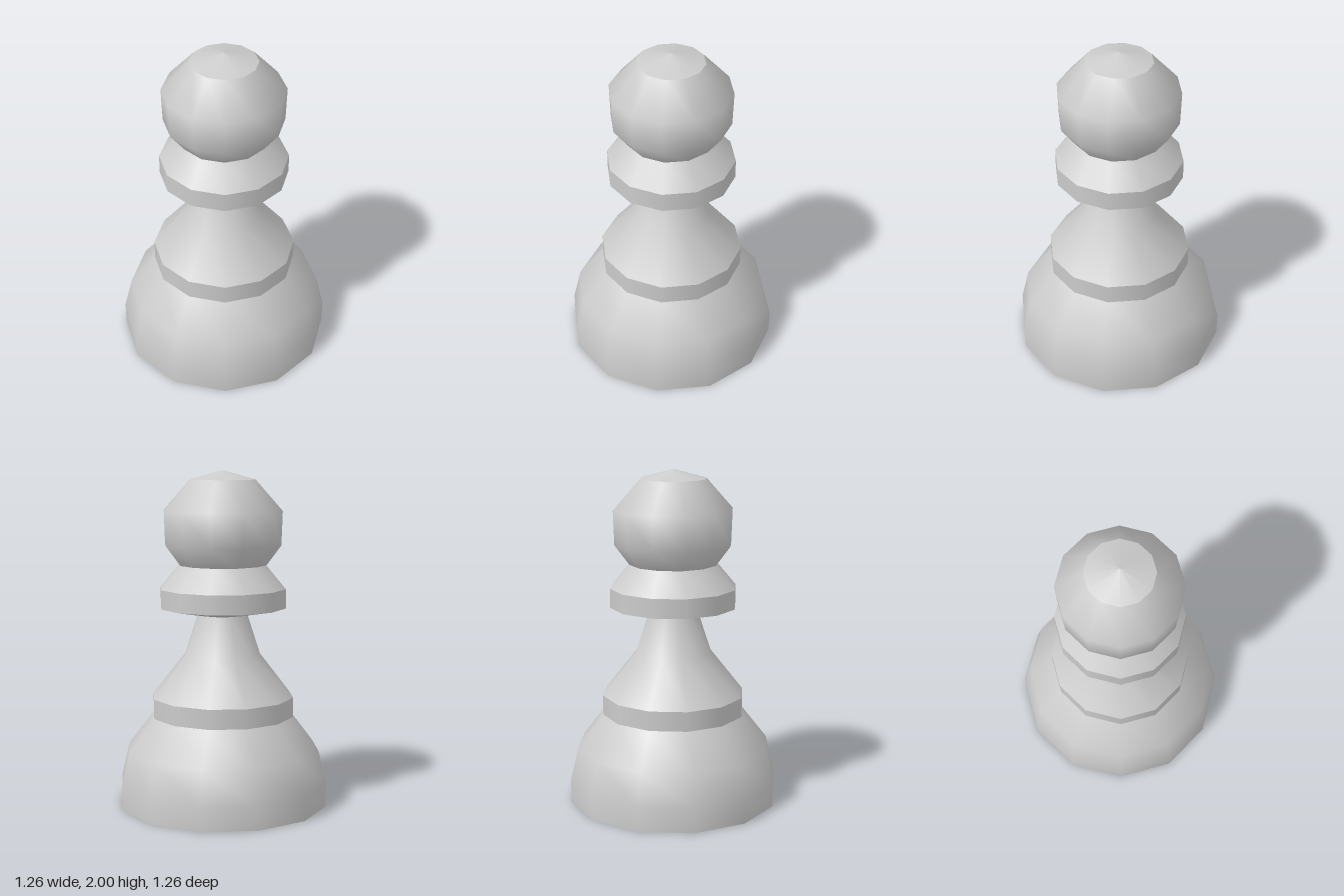
import * as THREE from 'three';

const SIDES = 12;

// Each part is one smooth run of the turned profile [radius, height], bottom to top;
// edges between parts stay sharp.
const PARTS = {
  underside: [[0, 0], [0.63, 0]],
  base: [[0.63, 0], [0.63, 0.14], [0.583, 0.34], [0.428, 0.54]],
  band: [[0.428, 0.54], [0.428, 0.657]],
  stem: [[0.428, 0.657], [0.228, 0.912], [0.15, 1.15]],
  collarUnderside: [[0.15, 1.15], [0.379, 1.192]],
  collarRim: [[0.379, 1.192], [0.379, 1.306]],
  collarTop: [[0.379, 1.306], [0.262, 1.445]],
  head: [[0.262, 1.445], [0.35, 1.563], [0.357, 1.765], [0.196, 1.946]],
  crown: [[0.196, 1.946], [0, 2]],
};

export function createModel() {
  const pawn = new THREE.Group();
  pawn.name = 'pawn';
  const material = new THREE.MeshStandardMaterial({ color: 0xcccccc });

  for (const [name, profile] of Object.entries(PARTS)) {
    const points = profile.map(([r, y]) => new THREE.Vector2(r, y));
    const mesh = new THREE.Mesh(new THREE.LatheGeometry(points, SIDES), material);
    mesh.name = name;
    pawn.add(mesh);
  }
  return pawn;
}
